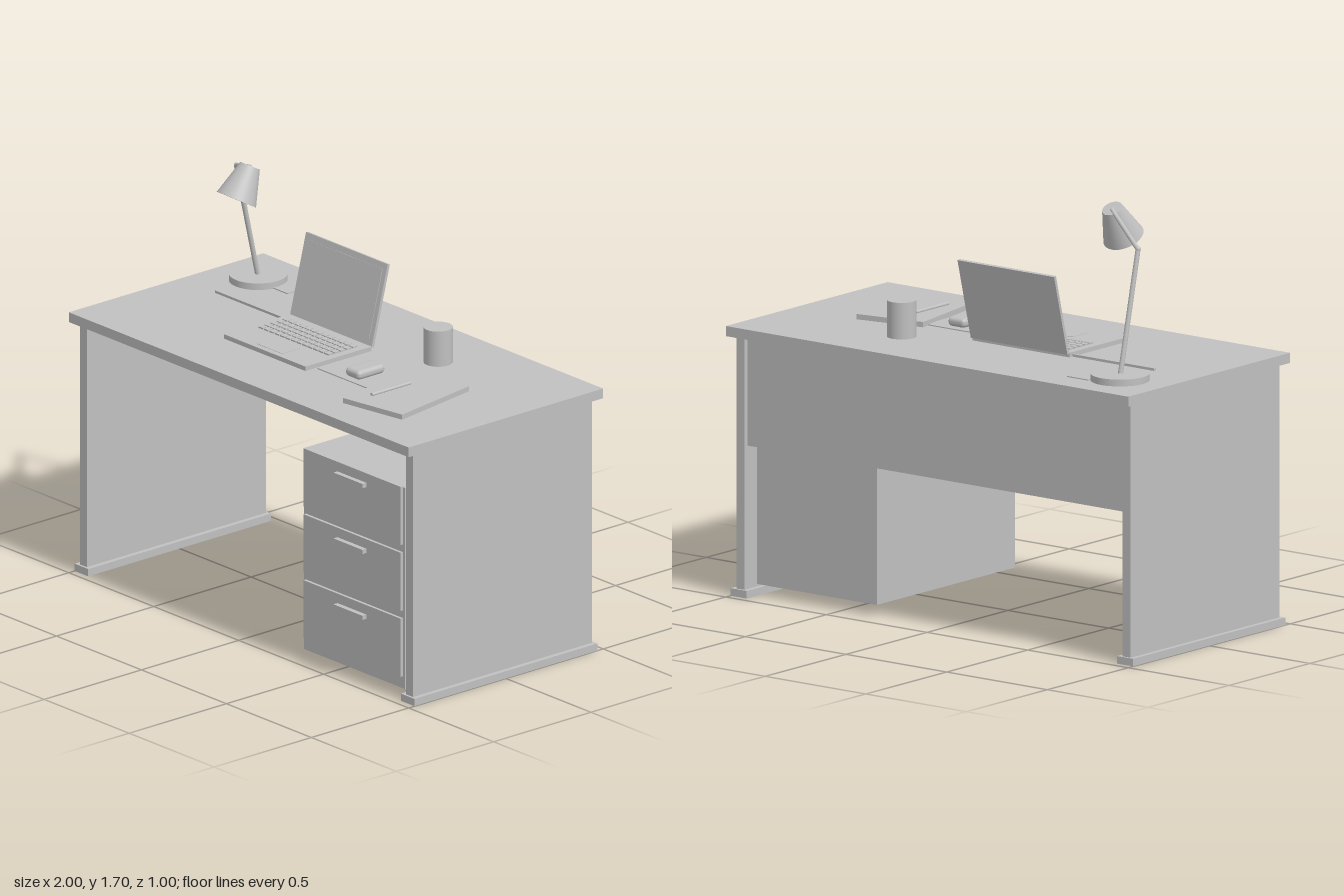
import * as THREE from 'three';
import { RoundedBoxGeometry } from 'three/addons/geometries/RoundedBoxGeometry.js';

const TOP = 1.075; // height of the work surface

export function createModel() {
  const desk = new THREE.Group();
  desk.name = 'desk';
  const grey = new THREE.MeshStandardMaterial({ color: 0xc0c0c0 });
  grey.name = 'plain grey';

  const add = (name, geometry, parent = desk) => {
    const mesh = new THREE.Mesh(geometry, grey);
    mesh.name = name;
    parent.add(mesh);
    return mesh;
  };
  const group = (name, parent = desk) => {
    const g = new THREE.Group();
    g.name = name;
    parent.add(g);
    return g;
  };
  // Box given by its two extreme values on each axis
  const box = (name, x0, x1, y0, y1, z0, z1, parent) => {
    const mesh = add(name, new THREE.BoxGeometry(x1 - x0, y1 - y0, z1 - z0), parent);
    mesh.position.set((x0 + x1) / 2, (y0 + y1) / 2, (z0 + z1) / 2);
    return mesh;
  };
  // Straight tapered cylinder from a to b
  const rod = (name, a, b, r0, r1, parent) => {
    const from = new THREE.Vector3(...a), to = new THREE.Vector3(...b);
    const dir = to.clone().sub(from);
    const mesh = add(name, new THREE.CylinderGeometry(r1, r0, dir.length(), 32), parent);
    mesh.position.copy(from).add(to).multiplyScalar(0.5);
    mesh.quaternion.setFromUnitVectors(new THREE.Vector3(0, 1, 0), dir.normalize());
    return mesh;
  };

  // Desk top, side panels with feet, back panel
  box('desktop', -1, 1, 1.035, TOP, -0.5, 0.5);
  for (const s of [-1, 1]) {
    const side = group(s > 0 ? 'leftSide' : 'rightSide');
    box('sidePanel', s * 0.96 - 0.02, s * 0.96 + 0.02, 0.03, 1.035, -0.46, 0.46, side);
    box('foot', s * 0.96 - 0.04, s * 0.96 + 0.04, 0, 0.03, -0.47, 0.47, side);
  }
  box('backPanel', -0.935, 0.935, 0.6, 1.035, -0.445, -0.415);

  // Drawer cabinet
  const cabinet = group('drawerCabinet');
  box('cabinetBody', 0.33, 0.925, 0.045, 0.875, -0.4, 0.452, cabinet);
  for (let i = 0; i < 3; i++) {
    const y = 0.095 + i * 0.272;
    box('drawerFront', 0.34, 0.912, y, y + 0.24, 0.45, 0.464, cabinet);
    box('drawerHandle', 0.54, 0.71, y + 0.183, y + 0.201, 0.462, 0.485, cabinet);
  }

  // Desk lamp
  const lamp = group('lamp');
  rod('lampBase', [-0.79, TOP, -0.29], [-0.79, 1.102, -0.29], 0.114, 0.114, lamp);
  rod('lampPole', [-0.79, 1.1, -0.287], [-0.79, 1.577, -0.178], 0.01, 0.01, lamp);
  rod('lampArm', [-0.79, 1.575, -0.18], [-0.545, 1.672, -0.035], 0.009, 0.009, lamp);
  const joint = add('lampJoint', new THREE.SphereGeometry(0.011, 16, 12), lamp);
  joint.position.set(-0.79, 1.576, -0.179);
  rod('lampShade', [-0.545, 1.554, 0.036], [-0.545, 1.677, -0.034], 0.082, 0.041, lamp);

  // Laptop
  const laptop = group('laptop');
  box('laptopBase', -0.385, 0.095, TOP, 1.093, -0.1, 0.24, laptop);
  const rows = 5, columns = 13, pitchX = 0.42 / columns, pitchZ = 0.155 / rows;
  for (let r = 0; r < rows; r++) {
    for (let c = 0; c < columns; c++) {
      const x = -0.355 + c * pitchX, z = -0.06 + r * pitchZ;
      box('key', x + 0.003, x + pitchX - 0.003, 1.092, 1.099, z + 0.003, z + pitchZ - 0.003, laptop);
    }
  }
  box('touchpad', -0.22, -0.07, 1.092, 1.0945, 0.125, 0.215, laptop);
  const lid = group('laptopLid', laptop);
  lid.position.set(-0.145, 1.09, -0.1);
  lid.rotation.x = -0.25;
  box('lidPanel', -0.24, 0.24, 0, 0.333, -0.012, 0, lid);
  box('display', -0.218, 0.218, 0.025, 0.308, -0.001, 0.002, lid);

  // Small things on the work surface
  box('cable', -0.79, -0.385, TOP, 1.085, -0.081, -0.069);
  box('stickyNote', -0.7, -0.595, TOP, 1.079, -0.375, -0.27);
  box('mousePad', 0.11, 0.41, TOP, 1.079, 0, 0.19);
  const mouse = add('mouse', new RoundedBoxGeometry(0.084, 0.037, 0.14, 4, 0.016));
  mouse.position.set(0.282, 1.097, 0.096);
  rod('cup', [0.355, TOP, -0.215], [0.355, 1.22, -0.215], 0.057, 0.057);
  const notebook = box('notebook', 0.4225, 0.7175, TOP, 1.096, -0.067, 0.343);
  notebook.rotation.y = 0.17;
  rod('pen', [0.512, 1.1, 0.065], [0.512, 1.1, 0.265], 0.007, 0.007);

  return desk;
}
